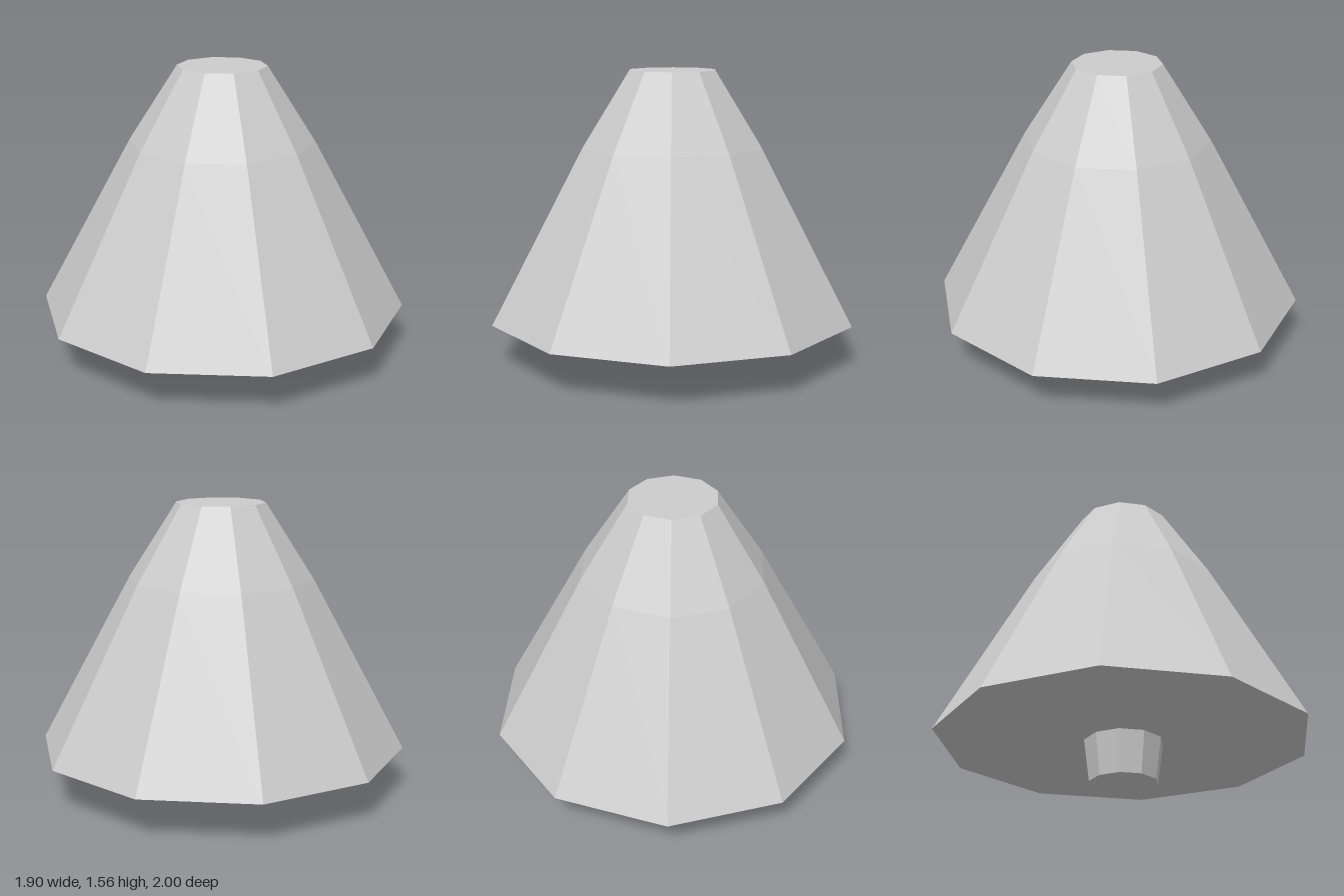
import * as THREE from 'three';

const SIDES = 10;

export function createModel() {
  const model = new THREE.Group();
  model.name = 'lampShadeTree';

  const grey = new THREE.MeshStandardMaterial({ color: 0xcccccc, flatShading: true });
  grey.name = 'light grey';

  // Ten-sided solid from a profile of [radius, height], bottom to top
  const addTurned = (name, profile) => {
    const points = profile.map(([r, y]) => new THREE.Vector2(r, y));
    const mesh = new THREE.Mesh(new THREE.LatheGeometry(points, SIDES), grey);
    mesh.name = name;
    model.add(mesh);
  };

  // Short stem, slightly wider at the top
  addTurned('stem', [[0, 0], [0.183, 0], [0.212, 0.225], [0, 0.225]]);

  // Wide cone with a slight bend and a flat top
  addTurned('cone', [[0, 0.225], [1, 0.225], [0.5, 1.15], [0.24, 1.557], [0, 1.557]]);

  return model;
}
